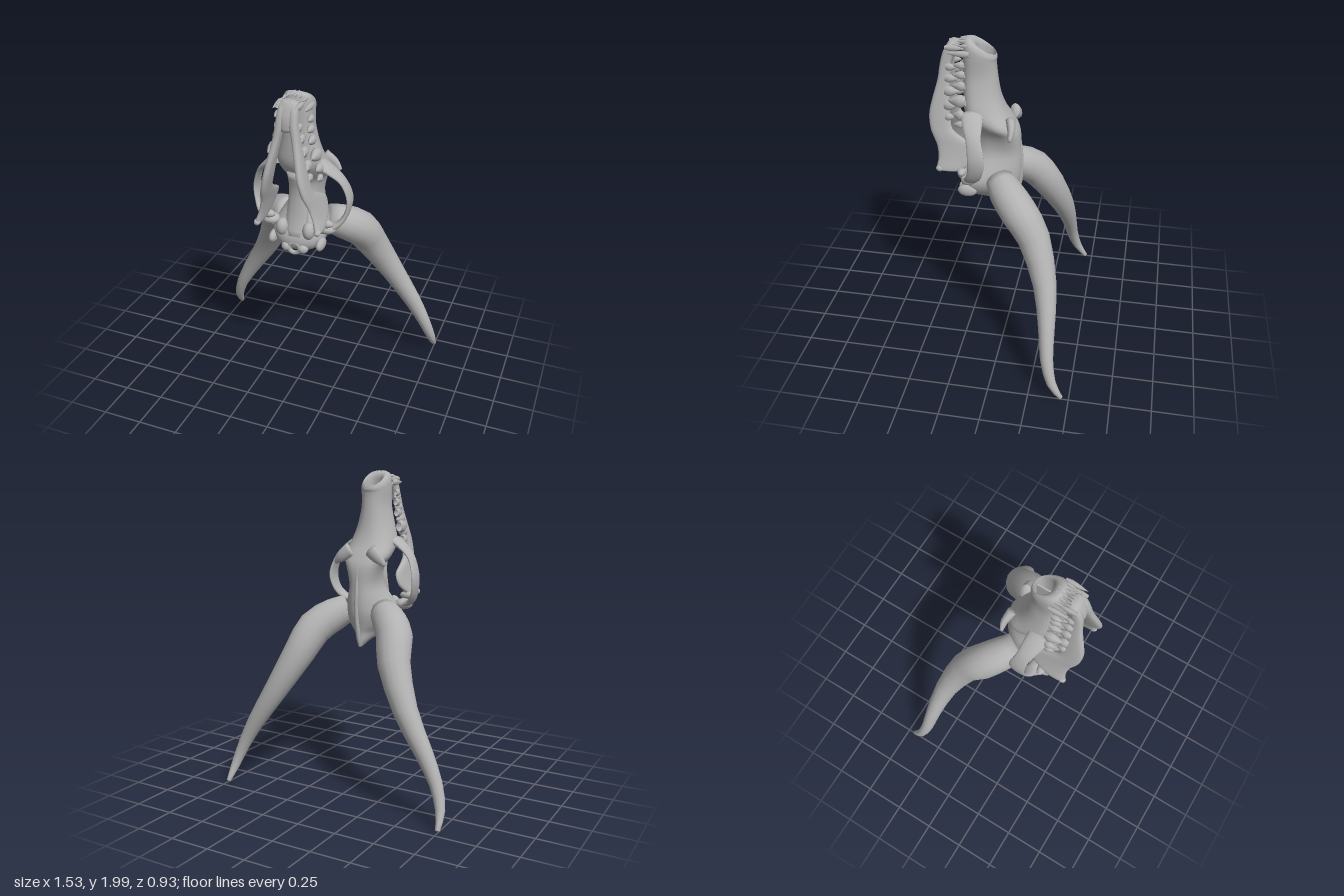
import * as THREE from 'three';

const bone = new THREE.MeshStandardMaterial({ color: 0xb2b2b2, side: THREE.DoubleSide });
bone.name = 'bone grey';

function part(name, geometry) {
  const m = new THREE.Mesh(geometry, bone);
  m.name = name;
  return m;
}

// Skin a list of rings (arrays of Vector3); each end closes on its centre
function skin(rings) {
  const n = rings[0].length, pos = [], idx = [];
  const centre = (r) => r.reduce((s, p) => s.add(p), new THREE.Vector3()).divideScalar(n);
  const all = [Array(n).fill(centre(rings[0])), ...rings, Array(n).fill(centre(rings[rings.length - 1]))];
  all.forEach((r) => r.forEach((p) => pos.push(p.x, p.y, p.z)));
  for (let i = 0; i < all.length - 1; i++) {
    for (let j = 0; j < n; j++) {
      const k = (j + 1) % n, a = i * n + j, b = i * n + k, c = a + n, d = b + n;
      if (i > 0) idx.push(a, b, c);
      if (i < all.length - 2) idx.push(b, d, c);
    }
  }
  const g = new THREE.BufferGeometry();
  g.setAttribute('position', new THREE.Float32BufferAttribute(pos, 3));
  g.setIndex(idx);
  g.computeVertexNormals();
  return g;
}

// Smoothly interpolate rows of numbers, all of one length
function smoothRows(rows, steps) {
  const out = [], at = (i) => rows[Math.max(0, Math.min(rows.length - 1, i))];
  for (let i = 0; i < rows.length - 1; i++) {
    for (let s = 0; s < steps; s++) {
      const t = s / steps, [a, b, c, d] = [at(i - 1), at(i), at(i + 1), at(i + 2)];
      out.push(b.map((v, k) => v + 0.5 * t * (c[k] - a[k] + t * (2 * a[k] - 5 * v + 4 * c[k] - d[k]
        + t * (3 * (v - c[k]) + d[k] - a[k])))));
    }
  }
  out.push(rows[rows.length - 1]);
  return out;
}

// Rows from top to bottom: y, centre x, half width, back z, front z, then optional taper and tilt
function loft(rows, sides, power) {
  const pw = (v) => Math.sign(v) * Math.abs(v) ** power;
  const full = rows.map((r) => [...r, 0, 0].slice(0, 7));
  return skin(smoothRows(full, 3).map(([y, xc, w, zb, zf, taper, tilt]) =>
    Array.from({ length: sides }, (_, j) => {
      const a = (j / sides) * Math.PI * 2, s = pw(Math.sin(a)), dz = s * (zf - zb) / 2;
      return new THREE.Vector3(xc + w * pw(Math.cos(a)) * (1 + taper * s), y + tilt * dz, (zf + zb) / 2 + dz);
    })));
}

// Rows: x, y, z, radius across, radius in depth
function sweep(rows, sides, steps = 3) {
  const pts = smoothRows(rows, steps), Z = new THREE.Vector3(0, 0, 1);
  const P = pts.map((p) => new THREE.Vector3(p[0], p[1], p[2]));
  return skin(P.map((p, i) => {
    const T = P[Math.min(i + 1, P.length - 1)].clone().sub(P[Math.max(i - 1, 0)]).normalize();
    const N = Z.clone().cross(T).normalize(), B = T.clone().cross(N);
    return Array.from({ length: sides }, (_, j) => {
      const a = (j / sides) * Math.PI * 2;
      return p.clone().addScaledVector(N, Math.cos(a) * pts[i][3]).addScaledVector(B, Math.sin(a) * pts[i][4]);
    });
  }));
}

function knob(name, x, y, z, rx, ry, rz) {
  const m = part(name, new THREE.SphereGeometry(1, 16, 12));
  m.position.set(x, y, z);
  m.scale.set(rx, ry, rz);
  return m;
}

// Tooth pointing along z; dir +1 or -1
function tooth(name, x, y, z, r, length, dir) {
  const g = new THREE.LatheGeometry([[0.7, -0.35], [1, 0], [0.85, 0.3], [0.45, 0.7], [0.01, 1]]
    .map(([a, b]) => new THREE.Vector2(a * r, b * length)), 10);
  g.scale(0.75, 1, 1);
  g.rotateX(dir * Math.PI / 2);
  g.translate(x, y, z);
  return part(name, g);
}

export function createModel() {
  const model = new THREE.Group();
  model.name = 'hornedSkull';

  // Muzzle and braincase; the first rows run back up the hollow nose
  model.add(part('cranium', loft([
    [1.72, 0, 0.035, 0.10, 0.19, 0, 0.3],
    [1.86, 0, 0.050, 0.085, 0.195, 0, 0.5],
    [1.935, 0, 0.056, 0.08, 0.195, 0, 0.6],
    [1.95, 0, 0.070, 0.075, 0.235, 0.1, 0.6],
    [1.93, 0, 0.085, 0.07, 0.265, 0.1, 0.5],
    [1.88, 0, 0.088, 0.075, 0.27, 0.12, 0.2],
    [1.78, 0, 0.088, 0.068, 0.27, 0.18],
    [1.66, 0, 0.115, 0.05, 0.27, 0.2],
    [1.56, 0, 0.145, 0.015, 0.265, 0.1],
    [1.48, 0, 0.145, -0.035, 0.23, -0.2],
    [1.41, 0, 0.105, -0.068, 0.20, -0.25],
    [1.30, 0, 0.092, -0.075, 0.20, 0],
    [1.20, 0, 0.135, -0.08, 0.235, 0.25],
    [1.12, 0, 0.160, -0.075, 0.285, 0.3],
    [1.05, 0, 0.135, -0.06, 0.295, 0.35],
    [1.00, 0, 0.085, -0.05, 0.25, 0.4],
    [0.95, 0, 0.035, -0.045, 0.09, 0.1],
    [0.912, 0, 0.008, -0.04, 0.0],
  ], 32, 0.85)));
  model.add(part('noseSeptum', new THREE.BoxGeometry(0.01, 0.16, 0.09).translate(0, 1.82, 0.14)));
  model.add(part('sagittalCrest', sweep([
    [0, 1.42, -0.055, 0.012, 0.012], [0, 1.25, -0.068, 0.014, 0.02],
    [0, 1.08, -0.062, 0.014, 0.022], [0, 0.93, -0.035, 0.01, 0.015]], 10)));
  const rim = part('spineOpening', new THREE.TorusGeometry(0.034, 0.014, 8, 20));
  rim.position.set(0, 1.03, 0.285);
  model.add(rim);
  model.add(part('palateKeel', sweep([
    [0, 1.5, 0.24, 0.06, 0.03], [0, 1.38, 0.21, 0.06, 0.035], [0, 1.22, 0.23, 0.07, 0.03], [0, 1.1, 0.27, 0.06, 0.025]], 12)));
  model.add(part('chin', loft([
    [1.975, 0, 0.035, 0.31, 0.345], [1.95, 0, 0.055, 0.305, 0.365],
    [1.88, 0, 0.05, 0.325, 0.392], [1.81, 0, 0.035, 0.345, 0.395]], 20, 0.8)));

  // Tooth rows: x, y, radius, length
  const upper = [[0.1, 1.86, 0.024, 0.05], [0.1, 1.8, 0.027, 0.055], [0.108, 1.735, 0.03, 0.06],
    [0.132, 1.65, 0.042, 0.08], [0.15, 1.57, 0.034, 0.05], [0.155, 1.51, 0.024, 0.045]];
  const lower = [[0.062, 1.83, 0.025, 0.05], [0.075, 1.765, 0.028, 0.06], [0.088, 1.69, 0.034, 0.065],
    [0.108, 1.61, 0.036, 0.065], [0.122, 1.54, 0.026, 0.045]];

  for (const side of [1, -1]) {
    const half = new THREE.Group();
    half.name = side > 0 ? 'leftHalf' : 'rightHalf';
    half.scale.x = side;

    half.add(part('horn', sweep([
      [0.12, 1.14, 0.04, 0.085, 0.085], [0.195, 1.10, -0.015, 0.105, 0.105],
      [0.285, 1.02, -0.11, 0.112, 0.112], [0.335, 0.88, -0.21, 0.1, 0.1],
      [0.46, 0.635, -0.30, 0.075, 0.072], [0.60, 0.41, -0.335, 0.055, 0.05],
      [0.685, 0.25, -0.352, 0.04, 0.04], [0.733, 0.11, -0.39, 0.029, 0.029],
      [0.746, 0.015, -0.452, 0.014, 0.014]], 16, 2)));

    // Cheek arch and the brow point above the eye socket
    half.add(part('cheekArch', sweep([
      [0.12, 1.57, 0.20, 0.03, 0.07], [0.19, 1.53, 0.185, 0.02, 0.06],
      [0.26, 1.46, 0.165, 0.014, 0.045], [0.297, 1.35, 0.145, 0.012, 0.052],
      [0.282, 1.25, 0.16, 0.014, 0.045], [0.235, 1.185, 0.195, 0.02, 0.04],
      [0.14, 1.15, 0.215, 0.03, 0.04]], 14, 4)));
    half.add(part('browPoint', sweep([
      [0.07, 1.52, -0.02, 0.045, 0.03], [0.13, 1.475, -0.035, 0.035, 0.022],
      [0.175, 1.435, -0.03, 0.012, 0.01]], 12)));

    // Lower jaw: chin, body, rear blade and hooked corner
    half.add(part('lowerJaw', loft([
      [1.965, 0.03, 0.02, 0.31, 0.35], [1.92, 0.036, 0.024, 0.315, 0.38],
      [1.84, 0.043, 0.024, 0.335, 0.402], [1.75, 0.06, 0.022, 0.338, 0.415],
      [1.62, 0.088, 0.022, 0.34, 0.45], [1.54, 0.105, 0.022, 0.335, 0.464],
      [1.46, 0.124, 0.02, 0.32, 0.455], [1.41, 0.137, 0.019, 0.25, 0.435],
      [1.36, 0.150, 0.017, 0.165, 0.412], [1.29, 0.168, 0.017, 0.17, 0.402],
      [1.24, 0.182, 0.02, 0.23, 0.41], [1.215, 0.188, 0.018, 0.27, 0.412]], 18, 0.8)));
    half.add(knob('jawHinge', 0.185, 1.215, 0.255, 0.05, 0.026, 0.028));
    half.add(knob('jawCorner', 0.188, 1.222, 0.392, 0.02, 0.02, 0.024));

    // Base of the skull
    half.add(knob('earBulb', 0.085, 1.15, 0.265, 0.038, 0.055, 0.045));
    half.add(knob('neckKnuckle', 0.052, 1.03, 0.275, 0.034, 0.032, 0.035));
    half.add(knob('earSpur', 0.152, 1.06, 0.235, 0.026, 0.04, 0.06));
    half.add(knob('hingeSocket', 0.18, 1.165, 0.215, 0.06, 0.035, 0.05));

    // Teeth
    upper.forEach(([x, y, r, l]) => half.add(tooth('upperTooth', x, y, 0.262, r, l, 1)));
    lower.forEach(([x, y, r, l]) => half.add(tooth('lowerTooth', x, y, 0.345, r, l, -1)));
    half.add(tooth('upperCanine', 0.092, 1.925, 0.25, 0.021, 0.1, 1));
    half.add(tooth('lowerCanine', 0.058, 1.945, 0.33, 0.019, 0.1, -1));
    for (let i = 0; i < 3; i++) {
      const x = 0.013 + i * 0.024;
      half.add(tooth('upperIncisor', x, 1.985 - i * i * 0.006, 0.235, 0.014, 0.06, 1));
      half.add(tooth('lowerIncisor', x * 0.7, 1.968 - i * 0.004, 0.32, 0.01, 0.05, -1));
    }
    model.add(half);
  }
  return model;
}
